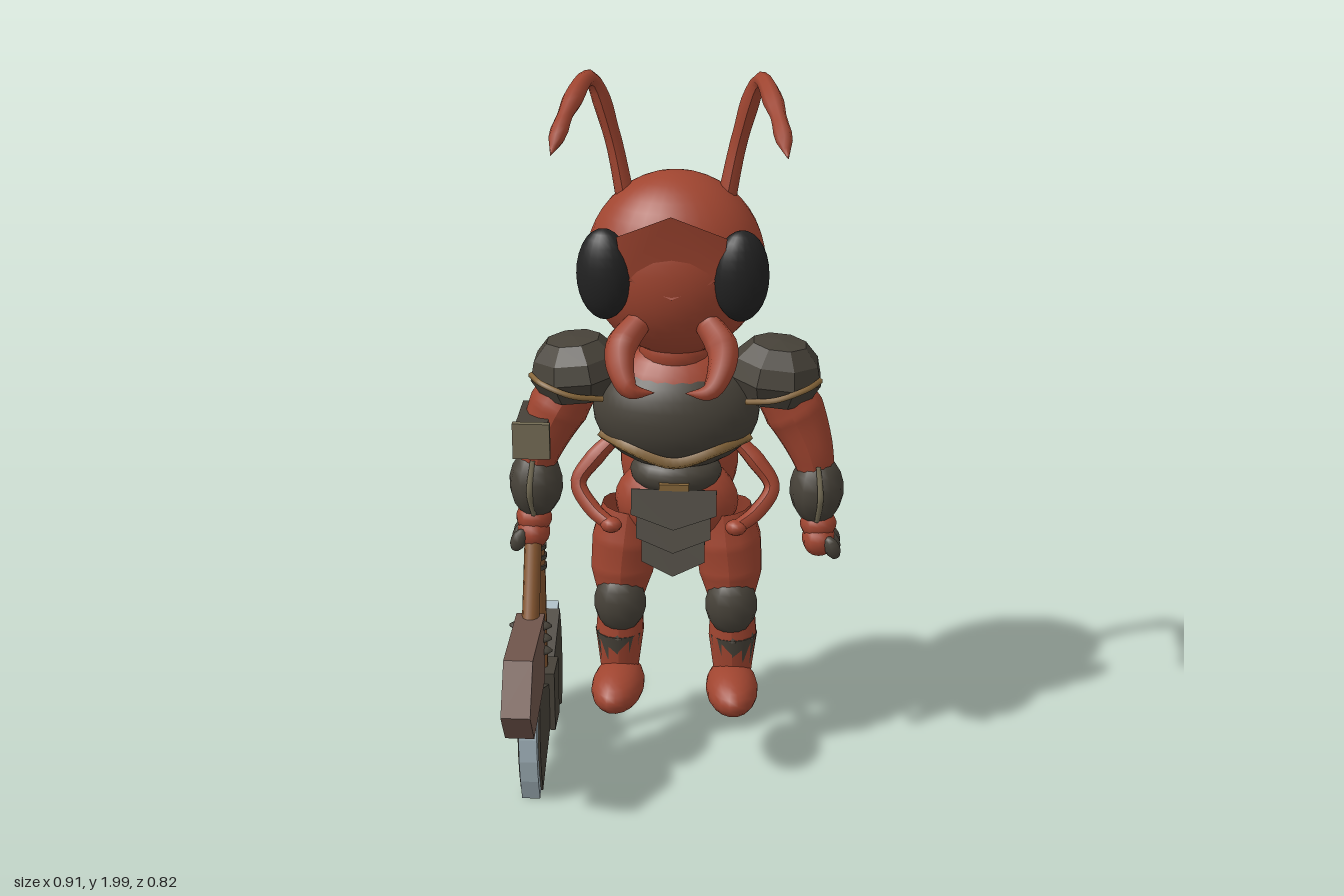
import * as THREE from 'three';

export function createModel() {
  const model = new THREE.Group();
  const mat = (name, color) => {
    const m = new THREE.MeshStandardMaterial({ color, side: THREE.DoubleSide });
    m.name = name;
    return m;
  };
  const red = mat('red shell', 0xa04530);
  const dark = mat('dark armour', 0x474239);
  const black = mat('eye black', 0x222222);
  const tan = mat('tan trim', 0x86663a);
  const bronze = mat('dull bronze', 0x746c55);
  const shaftWood = mat('shaft wood', 0x84552f);
  const clubWood = mat('club wood', 0x70554b);
  const steel = mat('steel edge', 0xa3b4bc);

  const add = (name, geometry, material, pos = [0, 0, 0], rot = [0, 0, 0]) => {
    const mesh = new THREE.Mesh(geometry, material);
    mesh.name = name;
    mesh.position.set(...pos);
    mesh.rotation.set(...rot);
    model.add(mesh);
    return mesh;
  };
  const ball = (name, material, pos, size, rot, seg = 20) => {
    const mesh = add(name, new THREE.SphereGeometry(1, seg, Math.ceil(seg * 0.7)), material, pos, rot);
    mesh.scale.set(...size);
    return mesh;
  };
  const box = (name, material, pos, size, rot) => add(name, new THREE.BoxGeometry(...size), material, pos, rot);
  // Faceted surface: split the vertices so every face is flat
  const faceted = (g) => {
    const flat = g.toNonIndexed();
    flat.computeVertexNormals();
    return flat;
  };
  // Tube whose radius follows a list of values along its length
  const limb = (name, material, points, radii, sides = 10) => {
    const curve = new THREE.CatmullRomCurve3(points.map((p) => new THREE.Vector3(...p)), false, 'centripetal');
    const steps = 24;
    const g = new THREE.TubeGeometry(curve, steps, 1, sides);
    const p = g.attributes.position;
    const v = new THREE.Vector3();
    for (let i = 0; i <= steps; i++) {
      const centre = curve.getPointAt(i / steps);
      const t = (i / steps) * (radii.length - 1);
      const k = Math.min(Math.floor(t), radii.length - 2);
      const r = THREE.MathUtils.lerp(radii[k], radii[k + 1], t - k);
      for (let j = 0; j <= sides; j++) {
        const n = i * (sides + 1) + j;
        v.fromBufferAttribute(p, n).sub(centre).multiplyScalar(r).add(centre);
        p.setXYZ(n, v.x, v.y, v.z);
      }
    }
    g.computeVertexNormals();
    return add(name, g, material);
  };
  const polygon = (pts) => new THREE.Shape(pts.map((p) => new THREE.Vector2(...p)));
  // Side outline given as [z, y], extruded along x and centred on x
  const sideSlab = (name, material, pts, x, width) => {
    const g = new THREE.ExtrudeGeometry(polygon(pts.map(([z, y]) => [-z, y])), { depth: width, bevelEnabled: false });
    g.translate(0, 0, -width / 2);
    g.rotateY(Math.PI / 2);
    return add(name, g, material, [x, 0, 0]);
  };

  // Head and brow plate
  ball('head', red, [0, 1.49, -0.07], [0.235, 0.245, 0.195], [0, 0, 0], 32);
  const brow = new THREE.ShapeGeometry(polygon([[0, 1.675], [-0.14, 1.61], [-0.125, 1.5], [0, 1.45], [0.125, 1.5], [0.14, 1.61]]));
  const bp = brow.attributes.position;
  for (let i = 0; i < bp.count; i++) {
    bp.setZ(i, 0.125 + (bp.getY(i) - 1.45) * 0.12 - Math.abs(bp.getX(i)) * 0.22);
  }
  brow.computeVertexNormals();
  add('browPlate', brow, red);

  // Body
  ball('neck', red, [0, 1.25, -0.08], [0.1, 0.08, 0.09]);
  ball('thorax', red, [0, 1.09, -0.095], [0.2, 0.19, 0.15], [0, 0, 0], 24);
  const chest = add('chestArmour', new THREE.SphereGeometry(1, 24, 16, 0, Math.PI), dark, [0, 1.08, -0.09]);
  chest.scale.set(0.225, 0.17, 0.16);
  limb('chestTrim', tan, [[-0.2, 1.015, -0.04], [-0.12, 1.005, 0.035], [0, 0.97, 0.05], [0.12, 1.005, 0.035], [0.2, 1.015, -0.04]], [0.013, 0.018, 0.013], 4);
  ball('belt', dark, [0, 0.9, -0.08], [0.125, 0.065, 0.095]);
  box('buckle', tan, [0, 0.888, 0.017], [0.08, 0.018, 0.015]);
  ball('pelvis', red, [0, 0.8, -0.11], [0.17, 0.13, 0.11]);
  ball('abdomen', red, [0, 0.873, -0.248], [0.165, 0.195, 0.165], [0, 0, 0], 24);

  // Layered loincloth, leaning forward
  for (const [i, [w, top, side, tip]] of [[0.085, -0.09, -0.2, -0.24], [0.1, -0.05, -0.135, -0.175], [0.115, 0, -0.07, -0.11]].entries()) {
    const shape = polygon([[-w, top], [-w, side], [0, tip], [w, side], [w, top]]);
    add('loinPlate', new THREE.ExtrudeGeometry(shape, { depth: 0.006, bevelEnabled: false }), dark, [0, 0.88, 0.003 + i * 0.006], [-0.33, 0, 0]);
  }

  for (const s of [1, -1]) {
    const m = (pts) => pts.map(([x, y, z]) => [s * x, y, z]);

    // Face
    ball('eye', black, [s * 0.175, 1.502, 0.078], [0.073, 0.12, 0.051], [0, s * 0.25, 0]);
    limb('mandible', red, m([[0.09, 1.37, 0.07], [0.13, 1.32, 0.12], [0.125, 1.27, 0.175], [0.1, 1.235, 0.205], [0.04, 1.225, 0.195]]), [0.035, 0.042, 0.036, 0.026, 0.001], 8);
    limb('antenna', red, m([[0.13, 1.66, -0.07], [0.165, 1.83, -0.075], [0.213, 1.98, -0.035], [0.255, 1.935, 0.09], [0.288, 1.845, 0.22]]),
      [0.025, 0.023, 0.022, 0.022, 0.025, 0.02, 0.022, 0.027, 0.019, 0.024, 0.001], 8);

    // Shoulder pad: eight-sided dome with trim on its front
    const profile = [[0, 0.085], [0.075, 0.078], [0.115, 0.035], [0.13, -0.015], [0.1, -0.075], [0, -0.07]].map((p) => new THREE.Vector2(...p));
    add('shoulderPad', faceted(new THREE.LatheGeometry(profile.reverse(), 8, Math.PI / 8)), dark, [s * 0.268, 1.19, -0.09], [0, 0, -s * 0.1]);
    limb('shoulderTrim', tan, m([[0.19, 1.13, 0.0], [0.27, 1.15, 0.035], [0.35, 1.175, 0.015], [0.385, 1.18, -0.04]]), [0.008, 0.008], 5);

    // Main arm
    limb('upperArm', red, m([[0.26, 1.17, -0.09], [0.325, 1.06, -0.09], [0.37, 0.95, -0.075], [0.385, 0.86, -0.07]]), [0.07, 0.082, 0.062, 0.04], 12);
    ball('bracer', dark, [s * 0.383, 0.855, -0.075], [0.074, 0.1, 0.082], [0, 0, 0], 12);
    limb('bracerTrim', bronze, m([[0.385, 0.94, -0.02], [0.392, 0.86, 0.009], [0.385, 0.78, -0.02]]), [0.007, 0.009, 0.007], 5);
    ball('wrist', red, [s * 0.39, 0.755, -0.065], [0.05, 0.045, 0.05], [0, 0, 0], 12);
    ball('hand', red, [s * 0.392, 0.715, -0.06], [0.046, 0.05, 0.06], [0, 0, 0], 12);
    for (const z of [-0.095, -0.055, -0.015]) {
      ball('knuckleGuard', dark, [s * 0.428, 0.705, z], [0.022, 0.035, 0.018], [0, 0, s * 0.4], 8);
    }

    // Small middle arm
    limb('middleArm', red, m([[0.16, 1.0, -0.07], [0.22, 0.94, -0.05], [0.262, 0.875, -0.03], [0.22, 0.815, 0.01], [0.165, 0.785, 0.05]]), [0.02, 0.026, 0.022, 0.023, 0.02], 8);
    ball('middleHand', red, [s * 0.168, 0.787, 0.047], [0.03, 0.022, 0.025], [0, 0, 0], 10);

    // Leg
    limb('thigh', red, m([[0.13, 0.78, -0.115], [0.14, 0.7, -0.115], [0.15, 0.6, -0.11], [0.155, 0.49, -0.09]]), [0.075, 0.093, 0.088, 0.058], 14);
    limb('shin', red, m([[0.155, 0.53, -0.095], [0.158, 0.43, -0.095], [0.16, 0.27, -0.09]]), [0.06, 0.068, 0.052], 14);
    ball('kneeGuard', dark, [s * 0.155, 0.503, -0.062], [0.073, 0.09, 0.057], [0, 0, 0], 12);
    add('ankleCuff', new THREE.CylinderGeometry(0.068, 0.056, 0.09, 12), dark, [s * 0.16, 0.36, -0.092]);
    for (let i = 0; i < 6; i++) {
      const a = (i / 6) * Math.PI * 2;
      const tooth = add('cuffPoint', new THREE.ConeGeometry(0.034, 0.04, 4), dark, [s * 0.16 + Math.sin(a) * 0.054, 0.42, -0.092 + Math.cos(a) * 0.054], [0, a, 0]);
      tooth.scale.z = 0.45;
    }
    ball('foot', red, [s * 0.16, 0.26, -0.028], [0.073, 0.062, 0.133], [0, s * 0.08, 0], 18);
  }

  // Double-bladed axe, held head down
  const ax = -0.387, az = -0.08, ay = 0.183;
  add('axeShaft', new THREE.CylinderGeometry(0.023, 0.023, 0.93, 10), shaftWood, [ax, 0.565, az]);
  for (const y of [0.66, 0.63, 0.6]) {
    add('gripRing', new THREE.CylinderGeometry(0.028, 0.028, 0.012, 10), dark, [ax, y, az]);
  }
  box('axeSocket', dark, [ax, 0.195, az], [0.092, 0.18, 0.105]);
  for (const d of [1, -1]) {
    const arc = (reach, bulge, half) => [-1, -0.6, -0.2, 0.2, 0.6, 1].map((t) => [az + d * (reach + bulge * (1 - t * t)), ay + t * half]);
    const inner = arc(0.245, 0.035, 0.158);
    const outer = arc(0.268, 0.04, 0.172);
    sideSlab('axeBlade', dark, [[az, ay - 0.045], ...inner, [az, ay + 0.045]], ax, 0.062);
    sideSlab('axeEdge', steel, [...inner, ...outer.reverse()], ax, 0.05);
  }
  box('axePommel', dark, [-0.38, 1.018, -0.065], [0.085, 0.09, 0.17]);
  box('pommelPlate', bronze, [-0.38, 1.018, 0.028], [0.1, 0.1, 0.018]);

  // Wooden club on a slanted shaft
  sideSlab('clubHead', clubWood, [[0.05, 0.515], [0.325, 0.515], [0.41, 0.39], [0.34, 0.29], [0.085, 0.33]], -0.392, 0.078);
  limb('clubShaft', shaftWood, [[-0.39, 0.74, -0.05], [-0.39, 0.6, 0.02], [-0.39, 0.44, 0.105]], [0.024, 0.024]);
  for (const y of [0.49, 0.452, 0.414]) {
    ball('clubStud', dark, [-0.39, y, 0.073], [0.06, 0.015, 0.026], [0, 0, 0], 10);
  }
  return model;
}
